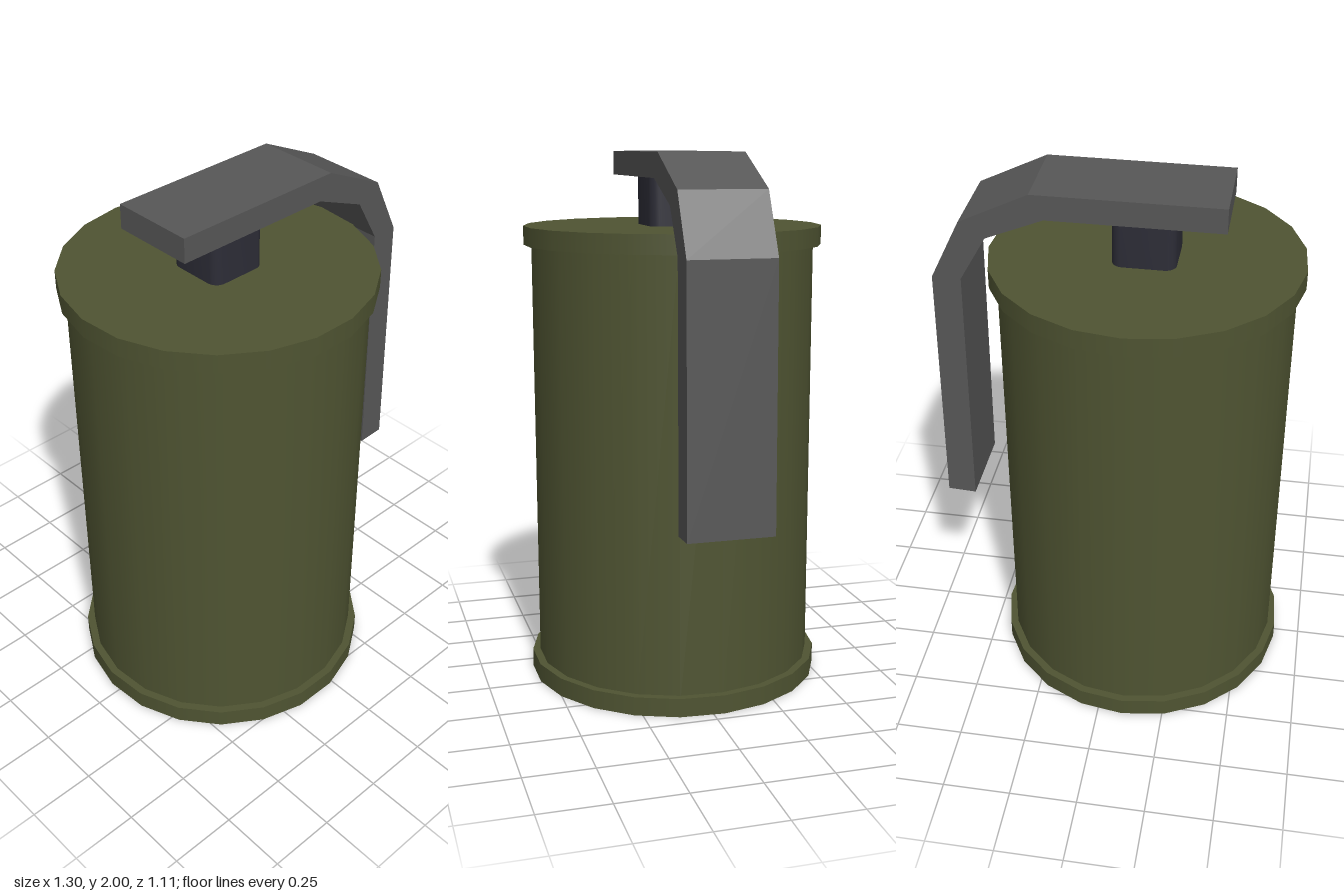
import * as THREE from 'three';
import { toCreasedNormals } from 'three/addons/utils/BufferGeometryUtils.js';

const AXIS_X = -0.095; // canister axis

export function createModel() {
  const model = new THREE.Group();
  model.name = 'canister';
  const material = (name, color) => {
    const m = new THREE.MeshStandardMaterial({ color });
    m.name = name;
    return m;
  };
  const olive = material('olive green', 0x4f5432);
  const steel = material('grey steel', 0x575757);
  const dark = material('dark metal', 0x2d2d37);

  const add = (name, geometry, mat) => {
    const mesh = new THREE.Mesh(geometry, mat);
    mesh.name = name;
    model.add(mesh);
    return mesh;
  };

  // Canister body and its two rims
  const drum = (name, radius, y0, y1) => {
    const geometry = new THREE.CylinderGeometry(radius, radius, y1 - y0, 21, 1, false, Math.PI);
    add(name, geometry, olive).position.set(AXIS_X, (y0 + y1) / 2, 0);
  };
  drum('body', 0.528, 0.03, 1.7);
  drum('bottomRim', 0.557, 0, 0.07);
  drum('topRim', 0.557, 1.66, 1.73);

  // Fuse block: rounded square post under the lever
  const h = 0.112, r = 0.04, c = h - r;
  const post = new THREE.Shape();
  post.absarc(c, c, r, 0, Math.PI / 2);
  post.absarc(-c, c, r, Math.PI / 2, Math.PI);
  post.absarc(-c, -c, r, Math.PI, Math.PI * 1.5);
  post.absarc(c, -c, r, Math.PI * 1.5, Math.PI * 2);
  const postGeometry = new THREE.ExtrudeGeometry(post, { depth: 0.21, bevelEnabled: false, curveSegments: 4 });
  postGeometry.rotateX(-Math.PI / 2);
  add('fuseBlock', toCreasedNormals(postGeometry, 0.7), dark).position.set(AXIS_X, 1.71, 0);

  // Lever: bent bar that runs over the top and down the left side
  const bar = new THREE.Shape([
    [-0.38, 1.91], [0.235, 1.91], [0.44, 1.825], [0.535, 1.66], [0.545, 0.71],
    [0.65, 0.715], [0.638, 1.66], [0.53, 1.88], [0.283, 2], [-0.38, 2],
  ].map(([x, y]) => new THREE.Vector2(x, y)));
  const barGeometry = new THREE.ExtrudeGeometry(bar, { depth: 0.316, bevelEnabled: false });
  add('lever', barGeometry, steel).position.z = -0.158;

  return model;
}
